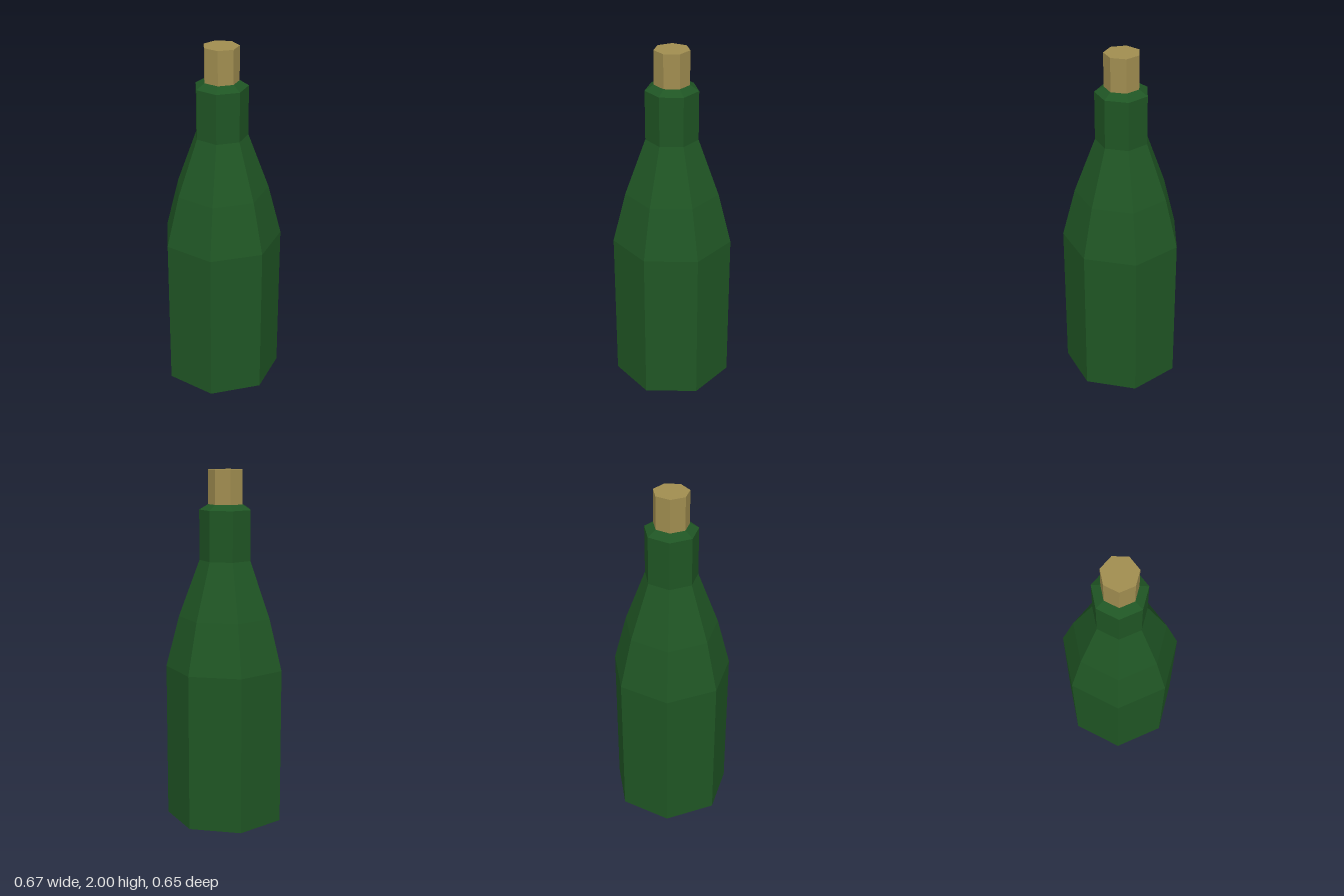
import * as THREE from 'three';

const SIDES = 7;

// Faceted solid of revolution with one corner pointing to the back
function turned(name, profile, color) {
  const points = profile.map(([r, y]) => new THREE.Vector2(r, y));
  const geometry = new THREE.LatheGeometry(points, SIDES, Math.PI);
  const material = new THREE.MeshStandardMaterial({ color, flatShading: true });
  const mesh = new THREE.Mesh(geometry, material);
  mesh.name = name;
  mesh.position.z = 0.016; // a heptagon's axis sits off the middle of its bounds
  return mesh;
}

export function createModel() {
  const group = new THREE.Group();
  group.name = 'corkedBottle';

  // Glass: base, straight body, two-step shoulder, neck, bevelled lip
  group.add(turned('glassBottle', [
    [0, 0], [0.342, 0], [0.342, 0.89], [0.267, 1.18],
    [0.149, 1.5], [0.149, 1.78], [0.1, 1.81], [0, 1.81],
  ], 0x1f5524));

  // Cork stopper standing in the lip
  group.add(turned('cork', [
    [0, 1.8], [0.099, 1.8], [0.099, 2], [0, 2],
  ], 0xa08d50));

  return group;
}
